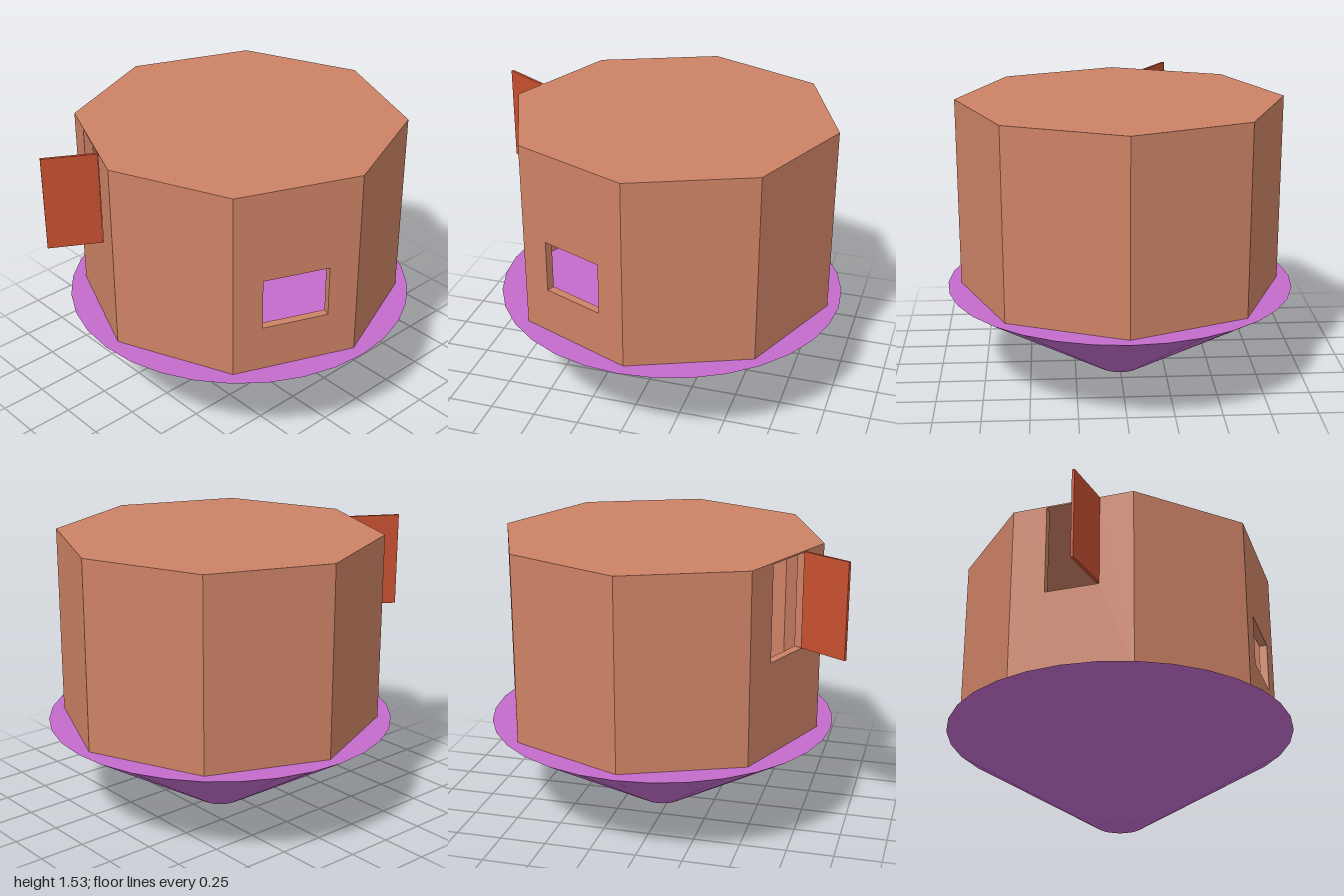
import * as THREE from 'three';

const R = 0.876, THICK = 0.045;            // outer corner radius and wall thickness
const Y0 = 0.51, Y1 = 1.535, ROOF = 0.008; // floor, roof top, roof thickness
const STEP = Math.PI / 4;
const APOTHEM = R * Math.cos(STEP / 2), HALF = R * Math.sin(STEP / 2);

const paint = (color) => new THREE.MeshStandardMaterial({ color, flatShading: true });

function addMesh(parent, name, geometry, material, x = 0, y = 0, z = 0) {
  const mesh = new THREE.Mesh(geometry, material);
  mesh.name = name;
  mesh.position.set(x, y, z);
  parent.add(mesh);
  return mesh;
}

const points = (list) => list.map(([x, y]) => new THREE.Vector2(x, y));

// One wall, outer face at z = APOTHEM, ends mitred to meet its neighbours
function wallGeometry(outline, hole) {
  const shape = new THREE.Shape(points(outline));
  if (hole) shape.holes.push(new THREE.Path(points(hole)));
  const geo = new THREE.ExtrudeGeometry(shape, { depth: THICK, bevelEnabled: false });
  geo.translate(0, 0, APOTHEM - THICK);
  const p = geo.attributes.position;
  for (let i = 0; i < p.count; i++) {
    if (Math.abs(p.getX(i)) > HALF - 1e-4) {
      p.setX(i, p.getX(i) * p.getZ(i) / APOTHEM);
    }
  }
  geo.computeVertexNormals();
  return geo;
}

export function createModel() {
  const model = new THREE.Group();
  model.name = 'house';
  const clay = paint(0xcd8265), purple = paint(0xc46ccd), red = paint(0xc85030);

  // Inverted cone base
  addMesh(model, 'coneBase', new THREE.CylinderGeometry(0.946, 0.126, Y0, 32),
    purple, -0.002, Y0 / 2, -0.053);

  // Hollow eight-sided body
  const body = new THREE.Group();
  body.name = 'body';
  body.position.set(-0.003, 0, -0.06);
  model.add(body);

  const top = Y1 - ROOF;
  const plain = [[-HALF, Y0], [HALF, Y0], [HALF, top], [-HALF, top]];
  const doorway = [[-HALF, Y0], [HALF, Y0], [HALF, top], [0.147, top],
    [0.147, 1.015], [-0.147, 1.015], [-0.147, top], [-HALF, top]];
  const windowHole = [[-0.178, 0.76], [-0.178, 1.04], [0.178, 1.04], [0.178, 0.76]];

  for (let i = 0; i < 8; i++) {
    const isDoor = i === 7, isWindow = i === 1;
    const name = isDoor ? 'doorWall' : isWindow ? 'windowWall' : 'wall' + i;
    const geo = wallGeometry(isDoor ? doorway : plain, isWindow ? windowHole : null);
    addMesh(body, name, geo, clay).rotation.y = (i + 0.5) * STEP;
  }
  addMesh(body, 'roof', new THREE.CylinderGeometry(R, R, ROOF, 8), clay, 0, Y1 - ROOF / 2, 0);

  // Door leaf swung open
  const door = addMesh(model, 'door', new THREE.BoxGeometry(0.285, 0.515, 0.015), red,
    -0.253, 1.2745, 0.867);
  door.rotation.y = Math.atan2(-0.245, -0.145);
  return model;
}
